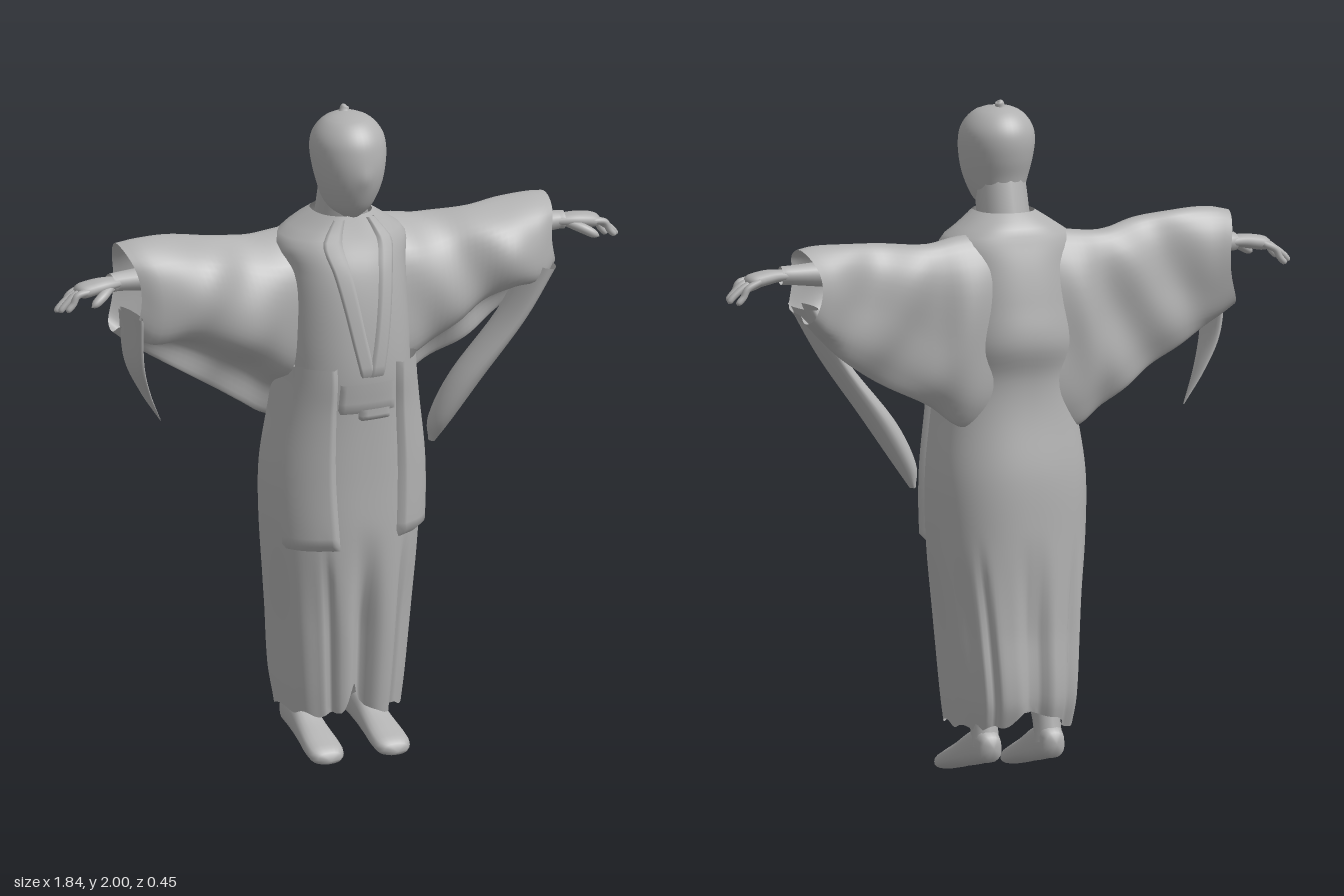
import * as THREE from 'three';
import { mergeVertices } from 'three/addons/utils/BufferGeometryUtils.js';

const cloth = new THREE.MeshStandardMaterial({ color: 0xb0b0b0, side: THREE.DoubleSide });
cloth.name = 'plain grey';

// Smooth interpolation through rows of [t, a, b, ...]
function track(rows) {
  const slope = (i, k) => {
    const p = rows[Math.max(i - 1, 0)], n = rows[Math.min(i + 1, rows.length - 1)];
    return (n[k] - p[k]) / (n[0] - p[0]);
  };
  return (t) => {
    let i = 0;
    while (i < rows.length - 2 && t > rows[i + 1][0]) i++;
    const A = rows[i], B = rows[i + 1], h = B[0] - A[0];
    const s = THREE.MathUtils.clamp((t - A[0]) / h, 0, 1), s2 = s * s, s3 = s2 * s;
    return A.slice(1).map((_, j) => {
      const k = j + 1;
      return A[k] * (2 * s3 - 3 * s2 + 1) + B[k] * (3 * s2 - 2 * s3)
        + h * (slope(i, k) * (s3 - 2 * s2 + s) + slope(i + 1, k) * (s3 - s2));
    });
  };
}

// Surface from a function of u and v, welded so closed seams shade smoothly
function surface(name, fn, nu, nv) {
  const pos = [], idx = [];
  for (let j = 0; j <= nv; j++) for (let i = 0; i <= nu; i++) pos.push(...fn(i / nu, j / nv));
  for (let j = 0; j < nv; j++) for (let i = 0; i < nu; i++) {
    const a = j * (nu + 1) + i, b = a + nu + 1;
    idx.push(a, a + 1, b, a + 1, b + 1, b);
  }
  let g = new THREE.BufferGeometry();
  g.setAttribute('position', new THREE.Float32BufferAttribute(pos, 3));
  g.setIndex(idx);
  g = mergeVertices(g, 1e-5);
  g.computeVertexNormals();
  const m = new THREE.Mesh(g, cloth);
  m.name = name;
  return m;
}

const pw = (v, e) => Math.sign(v) * Math.abs(v) ** e;
const bump = (x, c, w) => Math.exp(-(((x - c) / w) ** 2));

// Horizontal oval sections: y, half width, front z, back z, centre z
const robeRows = track([
  [0.14, 0.178, 0.18, -0.19, 0.0], [0.24, 0.19, 0.19, -0.22, 0.0], [0.45, 0.21, 0.205, -0.205, 0.0],
  [0.7, 0.235, 0.215, -0.19, 0.02], [0.9, 0.238, 0.215, -0.18, 0.02], [1.1, 0.212, 0.22, -0.15, 0.03],
  [1.2, 0.2, 0.23, -0.15, 0.03], [1.3, 0.2, 0.228, -0.178, 0.02], [1.42, 0.195, 0.215, -0.162, 0.02],
  [1.52, 0.195, 0.192, -0.142, 0.02], [1.6, 0.2, 0.157, -0.118, 0.015], [1.645, 0.14, 0.14, -0.1, 0.01],
  [1.68, 0.088, 0.128, -0.06, 0.03],
]);
const wrap = (a) => Math.atan2(Math.sin(a), Math.cos(a));

// Point on the robe at angle a (0 = front, positive = model's left)
function robe(a, y, off = 0) {
  const [rx, zf, zb, cz] = robeRows(y);
  const low = THREE.MathUtils.smoothstep(0.75 - y, 0, 0.35), w = wrap(a);
  const valley = 0.05 * bump(w, 0.02, 0.12) + 0.025 * bump(w, -0.5, 0.06) + 0.03 * bump(w, 0.6, 0.07)
    + 0.025 * bump(w, 2.45, 0.07) + 0.04 * bump(Math.abs(w), 3.1, 0.13) + 0.02 * bump(w, -2.5, 0.08)
    + 0.006 * Math.sin(9 * w + 1);
  const k = 1 - low * valley / 0.2;
  const s = Math.sin(a), c = Math.cos(a);
  const x = pw(s, 0.88) * (rx * k + off), z = cz + pw(c, 0.88) * ((c > 0 ? zf - cz : cz - zb) * k + off);
  return [x, y, z];
}
const hem = (a) => {
  const w = wrap(a);
  return 0.155 + 0.1 * bump(w, -0.1, 0.13) + 0.05 * bump(Math.abs(w), 3.1, 0.4) + 0.008 * Math.sin(11 * w);
};

// Patch of cloth lying over the robe
const patch = (name, a0, a1, y0, y1, off, nu = 16, nv = 24) => surface(name, (u, v) => {
  const y = y0 + (y1 - y0) * v, lo = a0(y), hi = a1(y);
  const edge = u === 0 || u === 1 || v === 0 ? -0.004 : off;
  return robe(lo + (hi - lo) * u, y, edge);
}, nu, nv);

// Closed tube of oval sections: x, y, z, half x, half z
const pouch = (name, rows) => {
  const f = track(rows.map((r, i) => [i, ...r]));
  return surface(name, (u, v) => {
    const [x, y, z, hx, hz] = f(v * (rows.length - 1)), a = u * Math.PI * 2;
    return [x + hx * Math.cos(a), y, z + hz * Math.sin(a)];
  }, 20, 20);
};

// Tapered limb through points of x, y, z, radius
function limb(name, pts, flat = 1) {
  const f = track(pts.map((p, i) => [i, ...p]));
  const n = pts.length - 1;
  return surface(name, (u, v) => {
    const t = v * n, [x, y, z, r] = f(t), p = f(Math.max(t - 0.05, 0)), q = f(Math.min(t + 0.05, n));
    const d = new THREE.Vector3(q[0] - p[0], q[1] - p[1], q[2] - p[2]).normalize();
    const side = new THREE.Vector3(0, 0, 1).addScaledVector(d, -d.z).normalize();
    const up = side.clone().cross(d), a = u * Math.PI * 2, rr = Math.max(r, 0);
    side.multiplyScalar(Math.cos(a) * rr).addScaledVector(up, Math.sin(a) * rr * flat);
    return [x + side.x, y + side.y, z + side.z];
  }, 12, n * 5);
}

// Wide sleeve: x, top, tube underside, drape bottom, front z, back z
function sleeve(name, s, rows) {
  const f = track(rows);
  const x0 = rows[0][0], x1 = rows[rows.length - 1][0];
  return surface(name, (u, v) => {
    const x = x0 + (x1 - x0) * v, [top, mid, bot, zf, zb] = f(x);
    const h = top - mid, P = (y, z) => new THREE.Vector3(0, y, z);
    const ring = new THREE.CatmullRomCurve3([
      P(top, zb * 0.35), P(top - h * 0.2, zf * 0.65), P(top - h * 0.6, zf), P(mid, zf * 0.8),
      P(mid - (mid - bot) * 0.45, zb * 0.25), P(bot, zb * 0.55), P(bot + (mid - bot) * 0.5, zb * 0.9),
      P(mid + h * 0.2, zb), P(top - h * 0.25, zb * 0.9)], true);
    const p = ring.getPoint(u % 1);
    const fold = 0.012 * Math.sin(v * 13 + p.y * 16) * Math.sin(v * Math.PI);
    const flare = v * 0.03 * Math.sin((p.y - bot) / (top - bot) * Math.PI);
    return [s * (x - flare + 0.01 * v), p.y, p.z + fold];
  }, 54, 30);
}

// Hand with four curled fingers and a thumb; the arm runs back inside the sleeve
function hand(s) {
  const g = new THREE.Group();
  g.name = s > 0 ? 'leftArm' : 'rightArm';
  const put = (name, pts, flat) => g.add(limb(name, pts.map(([x, y, z, r]) => [s * x, y, z, r]), flat));
  put('forearm', [[0.3, 1.52, 0, 0.05], [0.55, 1.53, 0, 0.042], [0.7, 1.535, 0, 0.03], [0.74, 1.535, 0.005, 0.028]]);
  put('palm', [[0.71, 1.535, 0, 0.027], [0.76, 1.535, 0.008, 0.036], [0.8, 1.53, 0.008, 0.04],
    [0.84, 1.522, 0.005, 0.036], [0.855, 1.515, 0.005, 0]], 0.55);
  for (let i = 0; i < 4; i++) {
    const z = 0.035 - i * 0.02, r = 0.0105, e = [0.895, 0.91, 0.915, 0.895][i], d = i * 0.004;
    put('finger', [[0.82, 1.527, z, r], [0.86, 1.52 - d, z, r], [e - 0.02, 1.495 - d, z, r * 0.95],
      [e - 0.004, 1.478 - d, z, r * 0.8], [e, 1.472 - d, z, 0]]);
  }
  put('thumb', [[0.745, 1.53, 0.02, 0.014], [0.785, 1.512, 0.05, 0.015], [0.815, 1.495, 0.062, 0.012],
    [0.83, 1.487, 0.066, 0]]);
  return g;
}

// Foot with dropped toes, plus the ankle
function foot(s, cx) {
  const g = new THREE.Group();
  g.name = s > 0 ? 'leftFoot' : 'rightFoot';
  const f = track([[-0.16, 0.1, 0.1, 0], [-0.15, 0.065, 0.13, 0.028], [-0.1, 0.05, 0.16, 0.04],
    [-0.04, 0.036, 0.14, 0.043], [0.03, 0.022, 0.1, 0.05], [0.1, 0.006, 0.065, 0.056],
    [0.145, 0, 0.04, 0.045], [0.162, 0.014, 0.014, 0]]);
  g.add(surface('shoe', (u, v) => {
    const z = -0.16 + 0.322 * v, [lo, hi, w] = f(z), a = u * Math.PI * 2;
    return [cx + s * 0.006 * v + w * pw(Math.cos(a), 0.8), Math.max(0, (lo + hi) / 2 + (hi - lo) / 2 * pw(Math.sin(a), 0.8)), z];
  }, 20, 24));
  g.add(limb('ankle', [[cx, 0.1, -0.1, 0.042], [cx, 0.17, -0.085, 0.042], [cx, 0.3, -0.05, 0.055], [cx, 0.5, 0, 0.07]]));
  return g;
}

export function createModel() {
  const g = new THREE.Group();
  g.name = 'robedFigure';

  // Robe and its overlapping front pieces
  g.add(surface('robe', (u, v) => {
    const a = u * Math.PI * 2;
    return robe(a, hem(a) + (1.68 - hem(a)) * v);
  }, 120, 70));
  g.add(patch('rightCoatFront', () => -1.2, (y) => -0.3 - (y - 0.67) * 0.25, 0.67, 1.24, 0.018));
  g.add(patch('leftCoatFront', (y) => 0.38 + (y - 0.67) * 0.1, () => 1.2, 0.69, 1.24, 0.018));
  g.add(patch('belt', () => -0.42, () => 0.42, 1.09, 1.19, 0.008, 14, 5));
  g.add(patch('beltKnot', () => -0.12, () => 0.3, 1.07, 1.11, 0.014, 8, 4));
  g.add(patch('rightCollar', (y) => -0.1 - (y - 1.2) * 1.1, (y) => 0.08 - (y - 1.2) * 0.7, 1.2, 1.67, 0.006, 8));
  g.add(patch('leftCollar', (y) => -0.02 + (y - 1.2) * 0.7, (y) => 0.2 + (y - 1.2) * 0.9, 1.2, 1.67, 0.008, 8));

  // Sleeves and their hanging ends
  g.add(sleeve('leftSleeve', 1, [[0.1, 1.63, 1.2, 1.04, 0.13, -0.13], [0.2, 1.618, 1.22, 1.06, 0.12, -0.14],
    [0.28, 1.605, 1.25, 1.12, 0.11, -0.12], [0.42, 1.612, 1.34, 1.19, 0.12, -0.1],
    [0.55, 1.62, 1.39, 1.27, 0.135, -0.1], [0.64, 1.622, 1.39, 1.35, 0.11, -0.125], [0.69, 1.615, 1.43, 1.4, 0.075, -0.14]]));
  g.add(sleeve('rightSleeve', -1, [[0.1, 1.63, 1.2, 1.02, 0.13, -0.13], [0.2, 1.615, 1.22, 1.04, 0.12, -0.14],
    [0.28, 1.61, 1.27, 1.09, 0.12, -0.11], [0.42, 1.635, 1.34, 1.18, 0.14, -0.09],
    [0.55, 1.65, 1.37, 1.26, 0.135, -0.08], [0.64, 1.65, 1.36, 1.32, 0.11, -0.1], [0.69, 1.64, 1.4, 1.36, 0.075, -0.12]]));
  g.add(pouch('leftSleeveEnd', [[0.645, 1.43, 0.05, 0.03, 0.085], [0.56, 1.27, 0.025, 0.032, 0.075],
    [0.435, 1.09, -0.02, 0.045, 0.065], [0.365, 0.96, -0.05, 0.034, 0.045], [0.345, 0.885, -0.07, 0.008, 0.015]]));
  g.add(pouch('rightSleeveEnd', [[-0.685, 1.44, 0.03, 0.015, 0.08], [-0.66, 1.28, 0, 0.016, 0.065],
    [-0.61, 1.17, -0.03, 0.01, 0.035], [-0.55, 1.07, -0.05, 0.001, 0.003]]));

  // Head, neck and topknot
  const skull = track([[1.675, 0.03, 0.13, 0.04], [1.70, 0.06, 0.158, 0.01], [1.73, 0.078, 0.178, -0.01],
    [1.78, 0.096, 0.198, -0.022], [1.83, 0.107, 0.206, -0.036], [1.88, 0.112, 0.202, -0.042],
    [1.92, 0.106, 0.19, -0.035], [1.955, 0.083, 0.163, -0.012], [1.977, 0.05, 0.125, 0.02], [1.988, 0, 0.06, 0.06]]);
  g.add(surface('head', (u, v) => {
    const y = 1.675 + 0.313 * v, [w, zf, zb] = skull(y), a = u * Math.PI * 2;
    const nose = 0.006 * bump(wrap(a - Math.PI / 2), 0, 0.2) * bump(y, 1.81, 0.03);
    return [w * Math.cos(a), y, (zf + zb) / 2 + (zf - zb) / 2 * Math.sin(a) + nose];
  }, 40, 36));
  g.add(limb('neck', [[0, 1.6, 0.02, 0.08], [0, 1.69, 0.04, 0.078], [0, 1.78, 0.06, 0.075]]));
  g.add(limb('topknot', [[0, 1.97, 0.055, 0.024], [0.002, 1.985, 0.052, 0.015], [0.006, 1.997, 0.05, 0.012], [0.008, 2, 0.05, 0]]));

  for (const s of [1, -1]) g.add(hand(s), foot(s, s > 0 ? 0.12 : -0.085));
  return g;
}
